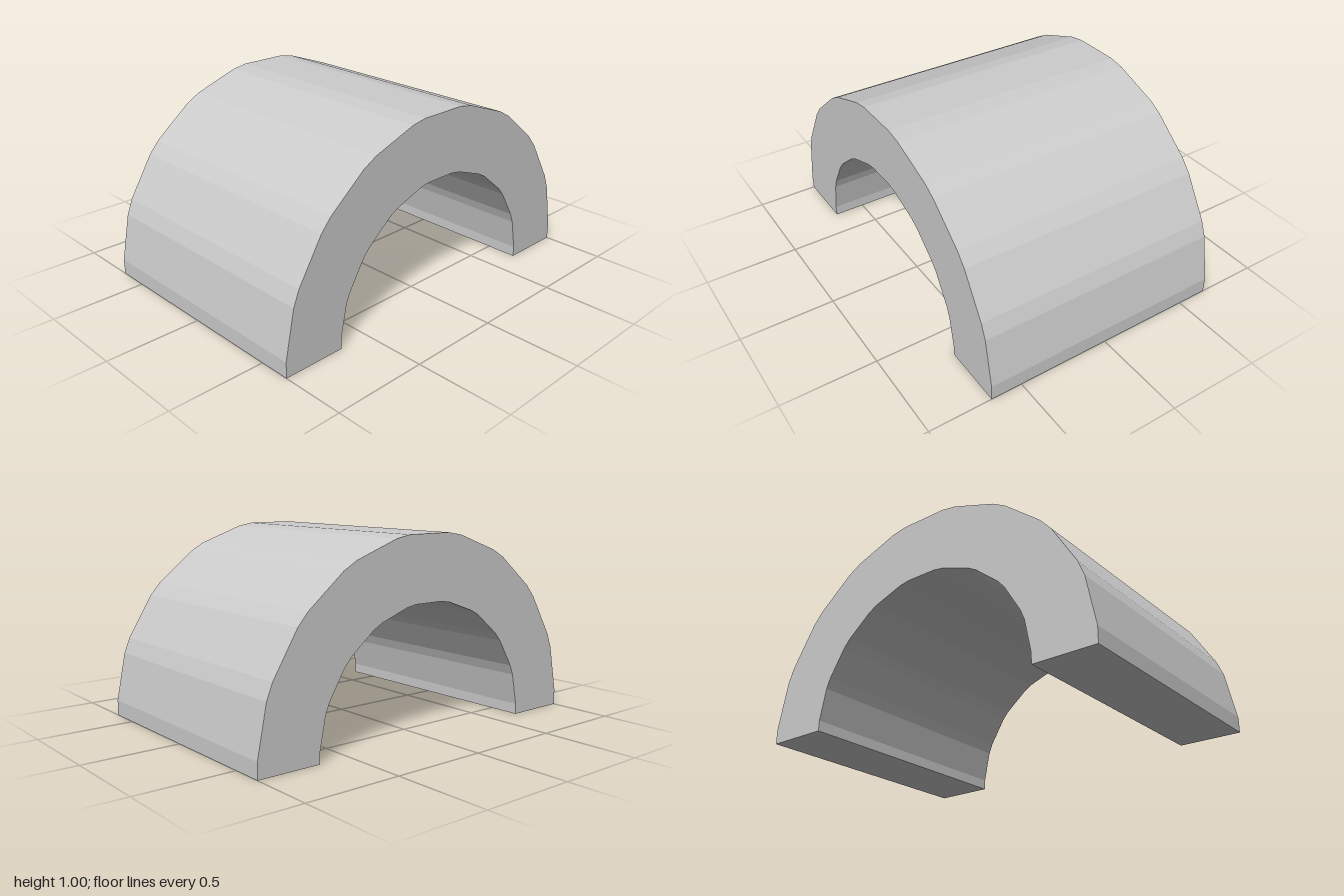
import * as THREE from 'three';

// Half ring outline: wide facets joined by narrow ones, from the +x foot over to the -x foot
function archPoints(radius) {
  const pitch = 19.5, wide = 14.6;
  const points = [new THREE.Vector2(radius, 0)];
  for (let i = -4; i <= 4; i++) {
    for (const side of [-1, 1]) {
      const a = THREE.MathUtils.degToRad(90 + i * pitch + (side * wide) / 2);
      const x = Math.cos(a) * 1.006, y = Math.sin(a) * 1.006;
      points.push(new THREE.Vector2(
        radius * THREE.MathUtils.clamp(x, -1, 1),
        radius * Math.min(y, 1)));
    }
  }
  points.push(new THREE.Vector2(-radius, 0));
  return points;
}

export function createModel() {
  const group = new THREE.Group();
  group.name = 'archedTunnel';

  const depth = 1.333;
  const shape = new THREE.Shape([...archPoints(1), ...archPoints(0.667).reverse()]);
  const geometry = new THREE.ExtrudeGeometry(shape, { depth, bevelEnabled: false });
  geometry.translate(0, 0, -depth / 2);

  // Thick faceted half-round vault
  const vault = new THREE.Mesh(
    geometry,
    new THREE.MeshStandardMaterial({ color: 0xcccccc, flatShading: true }));
  vault.name = 'vault';
  group.add(vault);
  return group;
}
